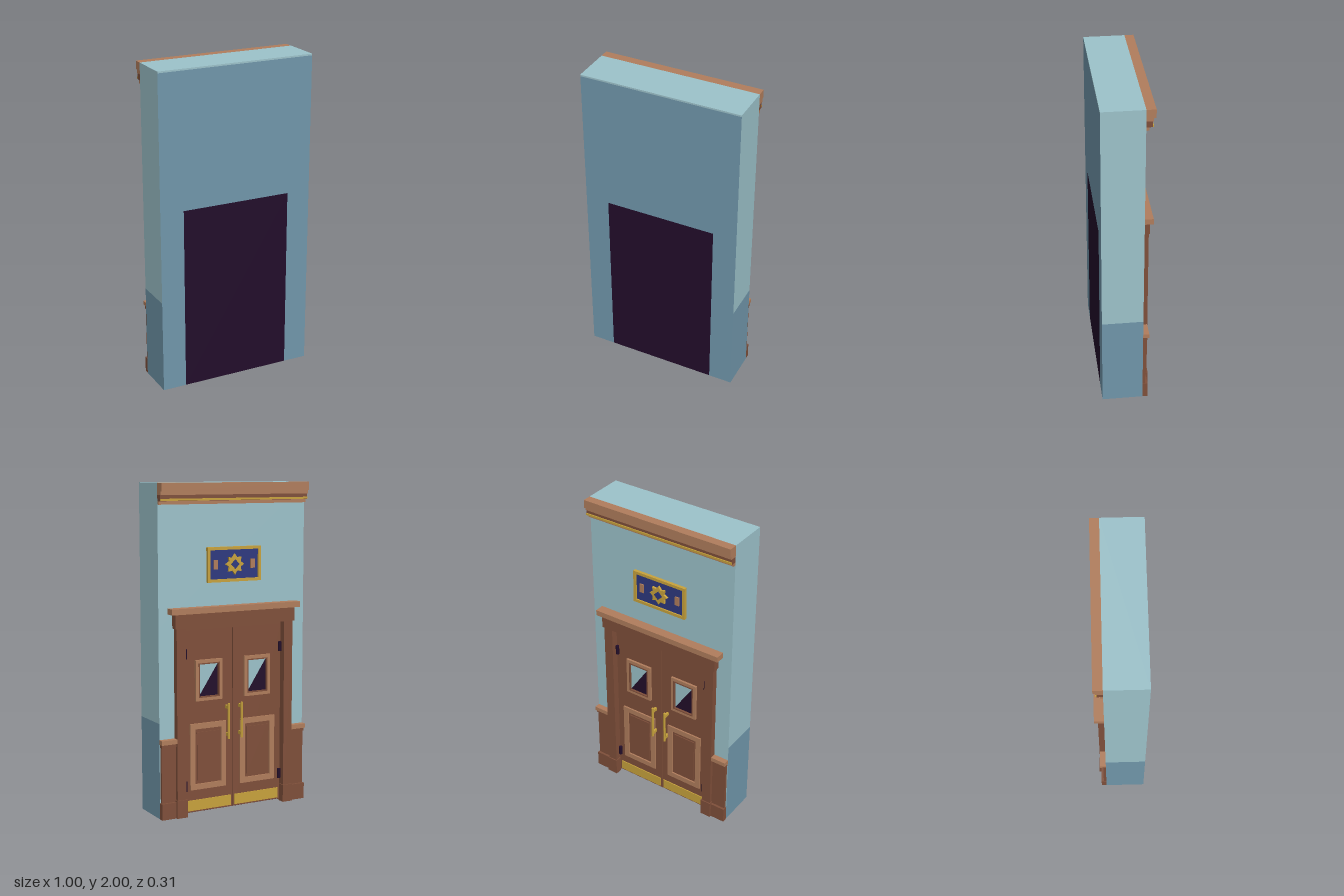
import * as THREE from 'three';

export function createModel() {
  const model = new THREE.Group();
  const mat = (name, color) => {
    const m = new THREE.MeshStandardMaterial({ color });
    m.name = name;
    return m;
  };
  const paleBlue = mat('pale blue plaster', 0x9cc2ca);
  const midBlue = mat('mid blue plaster', 0x7096aa);
  const dark = mat('dark opening', 0x220d2a);
  const wood = mat('dark wood', 0x7f4f3a);
  const trim = mat('light wood', 0xb07d5c);
  const gold = mat('brass', 0xc8a23c);
  const navy = mat('navy enamel', 0x2d387f);

  const add = (name, geometry, material) => {
    const mesh = new THREE.Mesh(geometry, material);
    mesh.name = name;
    model.add(mesh);
    return mesh;
  };
  // Box given by its extents
  const box = (name, material, x0, x1, y0, y1, z0, z1) => {
    const g = new THREE.BoxGeometry(Math.abs(x1 - x0), y1 - y0, Math.abs(z1 - z0));
    g.translate((x0 + x1) / 2, (y0 + y1) / 2, (z0 + z1) / 2);
    return add(name, g, material);
  };
  // Flat rectangular frame, its back at z and growing towards -z
  const frame = (name, material, cx, cy, w, h, border, z, depth) => {
    const rect = (a, b, Type) => {
      const p = new Type();
      p.moveTo(-a / 2, -b / 2);
      p.lineTo(a / 2, -b / 2);
      p.lineTo(a / 2, b / 2);
      p.lineTo(-a / 2, b / 2);
      p.closePath();
      return p;
    };
    const shape = rect(w, h, THREE.Shape);
    shape.holes.push(rect(w - 2 * border, h - 2 * border, THREE.Path));
    const g = new THREE.ExtrudeGeometry(shape, { depth, bevelEnabled: false });
    g.translate(cx, cy, z - depth);
    return add(name, g, material);
  };

  const B = -0.095; // decorated wall face
  const F = 0.155; // plain wall face
  const D = -0.088; // door face

  // Wall: faces in order +x, -x, +y, -y, +z, -z
  const upper = [paleBlue, paleBlue, paleBlue, midBlue, midBlue, paleBlue];
  const lower = [midBlue, midBlue, paleBlue, midBlue, midBlue, paleBlue];
  for (const s of [-1, 1]) {
    box('lowerPier', lower, s * 0.35, s * 0.5, 0, 0.585, B, F);
    box('upperPier', upper, s * 0.35, s * 0.5, 0.585, 1.15, B, F);
  }
  box('upperWall', upper, -0.5, 0.5, 1.15, 1.99, B, F);
  box('wallTop', paleBlue, -0.5, 0.5, 1.99, 2, B, F);
  box('darkOpening', dark, -0.35, 0.35, 0, 1.15, -0.06, F);

  // Crown moulding
  box('crownTop', trim, -0.5, 0.5, 1.95, 2, B, -0.15);
  box('crownStep', trim, -0.5, 0.5, 1.93, 1.95, B, -0.137);
  box('crownCore', wood, -0.5, 0.5, 1.895, 1.93, B, -0.13);
  box('crownBrassStrip', gold, -0.5, 0.5, 1.897, 1.909, -0.13, -0.136);
  box('crownBottom', trim, -0.5, 0.5, 1.875, 1.895, B, -0.112);

  // Door casing and header
  for (const s of [-1, 1]) {
    box('casing', wood, s * 0.34, s * 0.4, 0, 1.15, -0.06, -0.133);
    box('plinth', wood, s * 0.335, s * 0.405, 0, 0.11, B, -0.14);
  }
  box('header', wood, -0.41, 0.41, 1.15, 1.235, -0.08, -0.138);
  box('headerCap', trim, -0.44, 0.44, 1.235, 1.27, B, -0.155);

  // Wainscot at each side
  for (const s of [-1, 1]) {
    box('wainscot', wood, s * 0.4, s * 0.495, 0, 0.455, B, -0.112);
    box('baseboard', wood, s * 0.4, s * 0.5, 0, 0.1, B, -0.127);
    box('wainscotRail', wood, s * 0.4, s * 0.497, 0.44, 0.46, B, -0.121);
    box('chairRail', trim, s * 0.4, s * 0.5, 0.46, 0.487, B, -0.132);
  }

  // Double doors
  const triangle = (name, material, cx, cy, pts) => {
    const g = new THREE.ShapeGeometry(new THREE.Shape(pts.map(p => new THREE.Vector2(p[0], p[1]))));
    const m = add(name, g, material);
    m.rotation.y = Math.PI;
    m.position.set(cx, cy, D - 0.003);
  };
  for (const s of [-1, 1]) {
    box('door', wood, s * 0.002, s * 0.34, 0.01, 1.13, -0.06, D);
    box('kickPlate', gold, s * 0.012, s * 0.325, 0.02, 0.085, D, D - 0.006);

    // Lower panel
    const px = s * 0.172;
    frame('panelMoulding', trim, px, 0.355, 0.245, 0.41, 0.034, D, 0.01);
    box('panel', wood, px - 0.125 + 0.05, px + 0.125 - 0.05, 0.205, 0.505, D, D - 0.006);

    // Window with a diagonal reflection
    const wx = s * 0.168, wy = 0.823, a = 0.066, b = 0.1;
    frame('windowFrame', trim, wx, wy, 0.182, 0.25, 0.025, D, 0.014);
    frame('windowBead', wood, wx, wy, 0.142, 0.21, 0.007, D, 0.017);
    triangle('glassReflection', paleBlue, wx, wy, [[-a, b], [-a, -b], [a, b]]);
    triangle('glassShade', dark, wx, wy, [[a, b], [-a, -b], [a, -b]]);

    // Pull handle
    const hx = s * 0.045;
    const bar = new THREE.CylinderGeometry(0.008, 0.008, 0.22, 8);
    bar.translate(hx, 0.56, -0.125);
    add('handleBar', bar, gold);
    for (const y of [0.475, 0.645]) {
      box('handleMount', gold, hx - 0.007, hx + 0.007, y - 0.01, y + 0.01, D, -0.125);
    }

    // Hinges
    for (const y of [0.18, 0.99]) {
      const hinge = new THREE.CylinderGeometry(0.011, 0.011, 0.06, 8);
      hinge.translate(s * 0.328, y, D - 0.012);
      add('hinge', hinge, dark);
    }
  }
  box('doorTopRail', wood, -0.34, 0.34, 1.13, 1.15, -0.06, D - 0.004);

  // Wall plaque with star emblem
  const sy = 1.515;
  box('plaquePanel', navy, -0.17, 0.17, sy - 0.095, sy + 0.095, B, -0.106);
  frame('plaqueFrame', gold, 0, sy, 0.365, 0.21, 0.018, B, 0.02);
  const starPoints = [];
  for (let i = 0; i < 16; i++) {
    const r = i % 2 ? 0.042 : 0.062;
    const t = (i * Math.PI) / 8;
    starPoints.push(new THREE.Vector2(r * Math.cos(t), r * Math.sin(t)));
  }
  const star = new THREE.ExtrudeGeometry(new THREE.Shape(starPoints), { depth: 0.014, bevelEnabled: false });
  star.translate(0, sy, -0.12);
  add('starEmblem', star, gold);
  const gem = new THREE.CylinderGeometry(0.028, 0.028, 0.006, 4);
  gem.rotateX(Math.PI / 2);
  gem.translate(0, sy, -0.122);
  add('emblemCentre', gem, navy);
  for (const s of [-1, 1]) {
    box('plaqueTablet', trim, s * 0.112, s * 0.14, sy - 0.028, sy + 0.028, -0.106, -0.113);
  }

  return model;
}
